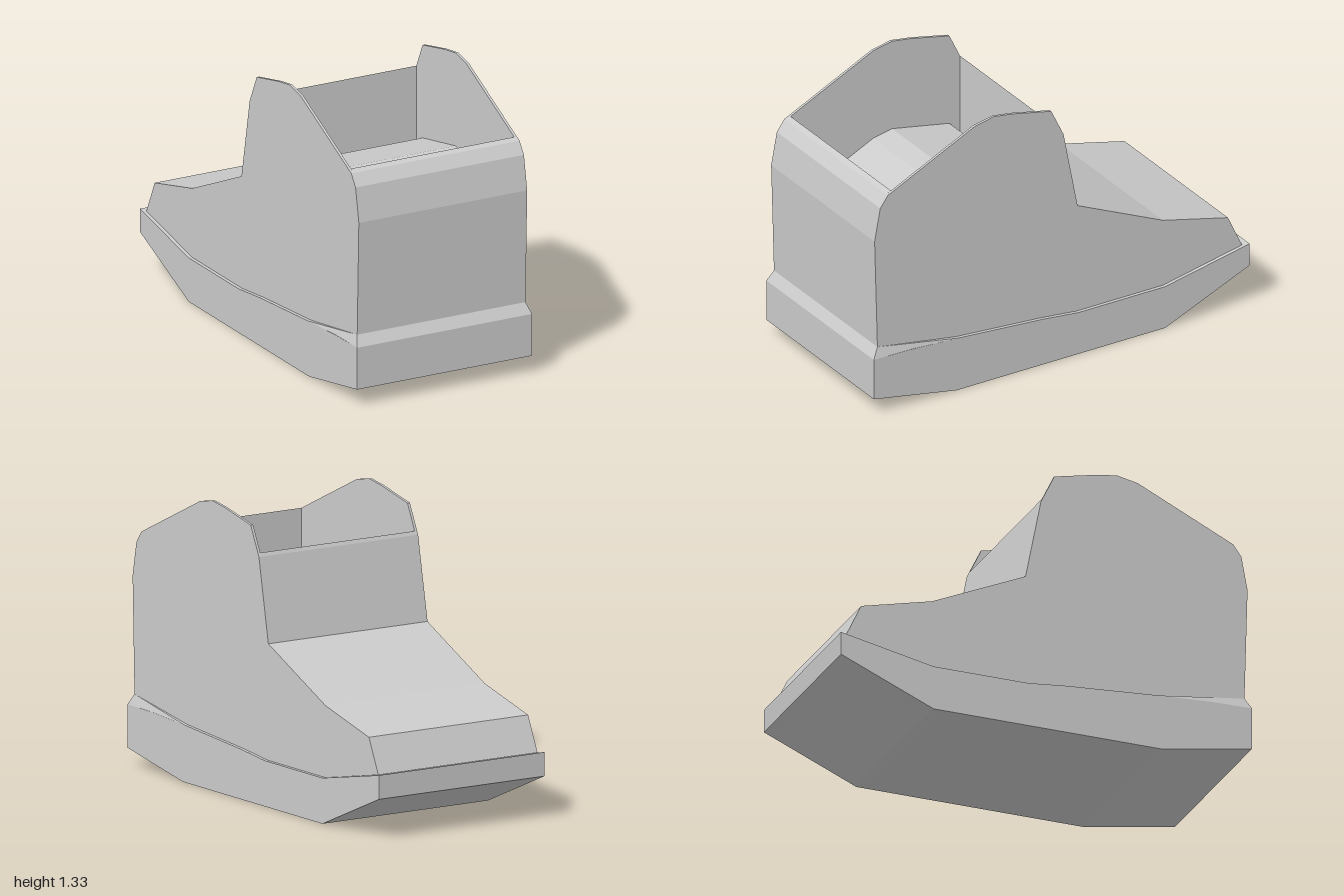
import * as THREE from 'three';

// Profiles are lists of [z, y], extruded across x.
const HEEL_TOP = [[0.97, 0.33], [0.985, 0.87], [0.955, 1.03], [0.915, 1.085]];
const COLLAR = [[0.45, 1.305], [0.35, 1.325], [0.25, 1.31], [0.045, 1.265]];
const TOE = [[-0.02, 1.13], [-0.095, 0.745], [-0.55, 0.54], [-0.895, 0.455], [-0.97, 0.295]];
const WELT = [[-0.55, 0.21], [-0.09, 0.21], [0.1, 0.23], [0.55, 0.263]];
// Opening: heel lip, sloped floor and tongue lip
const CAVITY = [[0.89, 1.097], [0.89, 0.652], [0.45, 0.86], [0.35, 0.88], [0.045, 0.82],
  [-0.012, 0.69], [-0.012, 1.147]];
const SOLE = [[1, 0.08], [0.56, 0], [-0.55, 0], [-1, 0.19], [-1, 0.3], ...WELT, [0.8, 0.277], [1, 0.28]];

const SOLE_X = 0.45, UPPER_X = 0.433, INNER_X = 0.42;

export function createModel() {
  const group = new THREE.Group();
  const material = new THREE.MeshStandardMaterial({ color: 0xcccccc, flatShading: true });

  const add = (name, geometry) => {
    const mesh = new THREE.Mesh(geometry, material);
    mesh.name = name;
    group.add(mesh);
  };

  // Extrude a side profile between two x positions
  const slab = (name, profile, x0, x1) => {
    const shape = new THREE.Shape(profile.map(([z, y]) => new THREE.Vector2(z, y)));
    const geometry = new THREE.ExtrudeGeometry(shape, { depth: x1 - x0, bevelEnabled: false });
    geometry.rotateY(-Math.PI / 2).translate(x1, 0, 0);
    add(name, geometry);
  };

  slab('sole', SOLE, -SOLE_X, SOLE_X);

  // Body between the side panels, with the opening cut into it
  slab('upperBody', [...HEEL_TOP, ...CAVITY, ...TOE, ...WELT], -INNER_X, INNER_X);

  // Thin side panels that rise above the opening
  const side = [...HEEL_TOP, ...COLLAR, ...TOE, ...WELT];
  slab('leftPanel', side, INNER_X, UPPER_X);
  slab('rightPanel', side, -UPPER_X, -INNER_X);

  // Sloped welt wrapping the heel and tapering forward along both sides
  const a = [SOLE_X, 0.28, 1], b = [SOLE_X, 0.263, 0.55];
  const c = [UPPER_X, 0.33, 0.97], d = [UPPER_X, 0.263, 0.55];
  const m = ([x, y, z]) => [-x, y, z];
  const triangles = [
    m(a), a, c, m(a), c, m(c),
    a, b, c, b, d, c,
    m(a), m(c), m(b), m(b), m(c), m(d),
  ];
  const welt = new THREE.BufferGeometry();
  welt.setAttribute('position', new THREE.Float32BufferAttribute(triangles.flat(), 3));
  welt.computeVertexNormals();
  add('heelWelt', welt);

  return group;
}
